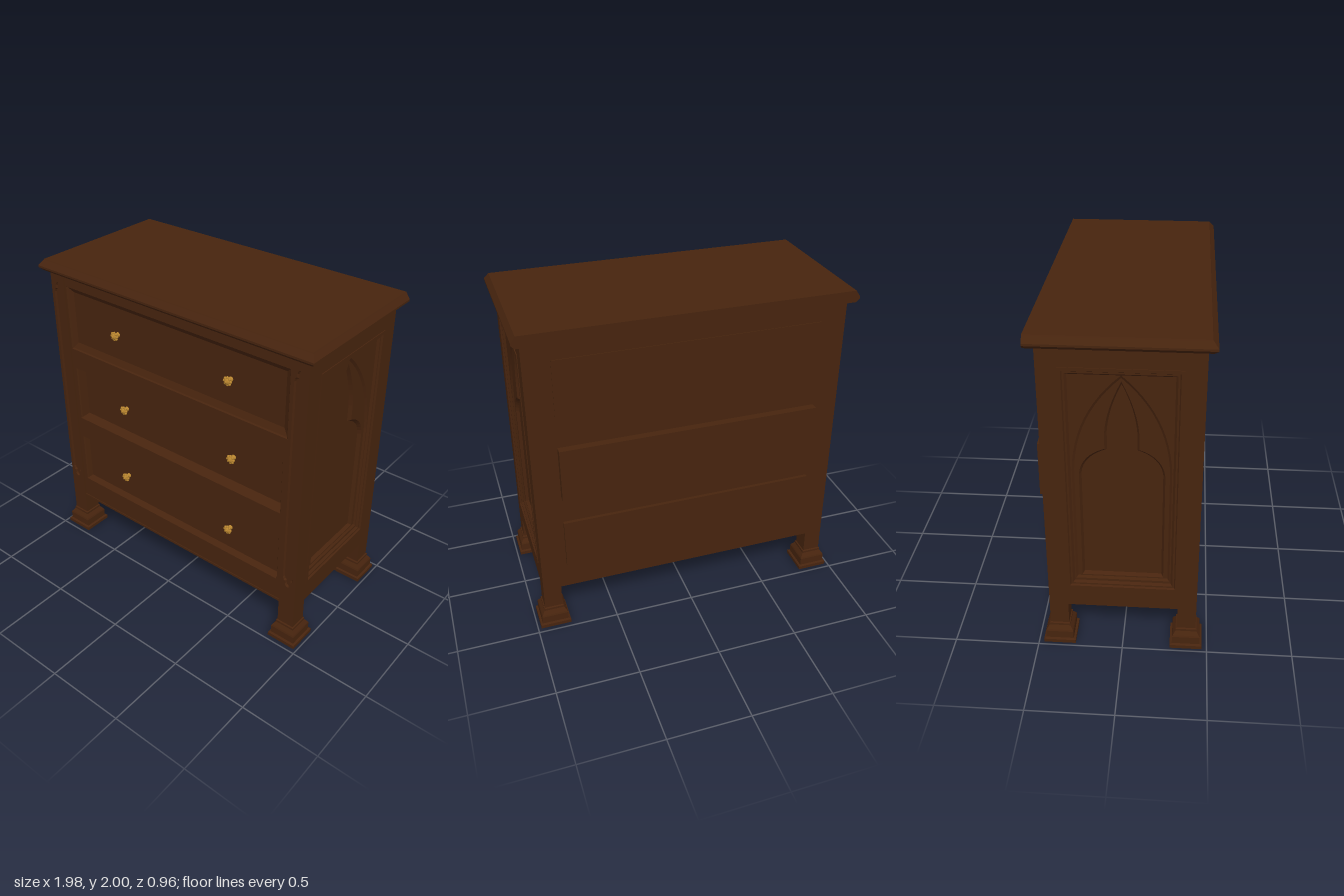
import * as THREE from 'three';

const wood = new THREE.MeshStandardMaterial({ color: 0x47240e });
wood.name = 'dark wood';
const brass = new THREE.MeshStandardMaterial({ color: 0xb9852f });
brass.name = 'brass';

function add(parent, name, geometry, material = wood) {
  const mesh = new THREE.Mesh(geometry, material);
  mesh.name = name;
  parent.add(mesh);
  return mesh;
}

// Box given by its lower and upper corners
function box(parent, name, [x0, y0, z0], [x1, y1, z1]) {
  const mesh = add(parent, name, new THREE.BoxGeometry(x1 - x0, y1 - y0, z1 - z0));
  mesh.position.set((x0 + x1) / 2, (y0 + y1) / 2, (z0 + z1) / 2);
  return mesh;
}

// Counter-clockwise rectangle outline
const rect = (x0, y0, x1, y1) => [[x0, y0], [x1, y0], [x1, y1], [x0, y1]].map(p => new THREE.Vector2(...p));

// Flat-faced skin through matching outlines, each { points, w } with w along +z
function loft(levels, capped = false) {
  const pos = [];
  const tri = (...vs) => vs.forEach(([p, w]) => pos.push(p.x, p.y, w));
  for (let k = 0; k < levels.length - 1; k++) {
    const { points: a, w: wa } = levels[k], { points: b, w: wb } = levels[k + 1];
    a.forEach((p, i) => {
      const j = (i + 1) % a.length;
      tri([p, wa], [a[j], wa], [b[j], wb]);
      tri([p, wa], [b[j], wb], [b[i], wb]);
    });
  }
  if (capped) {
    const s = levels[0], e = levels[levels.length - 1];
    for (let i = 1; i < s.points.length - 1; i++) {
      tri([s.points[0], s.w], [s.points[i + 1], s.w], [s.points[i], s.w]);
      tri([e.points[0], e.w], [e.points[i], e.w], [e.points[i + 1], e.w]);
    }
  }
  const g = new THREE.BufferGeometry();
  g.setAttribute('position', new THREE.Float32BufferAttribute(pos, 3));
  g.computeVertexNormals();
  return g;
}

// Plate with holes, its face at z = w
function plate(outline, holes, w, depth) {
  const shape = new THREE.Shape(outline);
  shape.holes = holes.map(h => new THREE.Path(h));
  return new THREE.ExtrudeGeometry(shape, { depth, bevelEnabled: false }).translate(0, 0, w - depth);
}

// Right half of an outline mirrored to a closed, counter-clockwise one ending at the apex
function mirrored(half) {
  const left = half.slice(0, -1).reverse().map(p => new THREE.Vector2(-p.x, p.y));
  return [...half, ...left];
}

const curve = (a, b, c, n) => new THREE.QuadraticBezierCurve(
  new THREE.Vector2(...a), new THREE.Vector2(...b), new THREE.Vector2(...c)).getPoints(n);

// Pointed arch, inset by d
const arch = d => mirrored([
  new THREE.Vector2(0.268 - d, 0.46 + d),
  ...curve([0.268 - d, 1.2], [0.255 - d, 1.55 - d], [0, 1.775 - d * 1.6], 12)]);

// Shouldered pointed opening, inset by d
const trefoil = d => mirrored([
  new THREE.Vector2(0.232 - d, 0.48 + d),
  ...curve([0.232 - d, 1.17], [0.22 - d, 1.29 - d], [0.092 - d, 1.335 - d], 8),
  ...curve([0.092 - d, 1.43], [0.082 - d, 1.57], [0, 1.735 - d * 2], 8)]);

// Slim post recess with a stepped tip at each end
function postRecess(d) {
  const a = 0.035 - d, b = 0.019 - d;
  const top = [[a, 1.795], [a - 0.006, 1.815 - d], [b, 1.822 - d], [b, 1.845 - d], [b * 0.6, 1.858 - d], [0, 1.863 - d]];
  const right = [...top.map(([x, y]) => [x, 2.283 - y]).reverse(), ...top];
  return [...right, ...right.slice(1, -1).reverse().map(([x, y]) => [-x, y])].map(p => new THREE.Vector2(...p));
}

// Post with its stepped foot
function makePost(front) {
  const post = new THREE.Group();
  post.name = front ? 'frontPost' : 'backPost';
  const h = 0.055;
  box(post, 'leg', [-h, 0.1, -h], [h, front ? 0.3 : 1.94, h]);
  if (front) {
    box(post, 'postCore', [-h, 0.3, -h], [h, 1.94, 0.043]);
    add(post, 'postFace', plate(rect(-h, 0.3, h, 1.94), [postRecess(0)], h, 0.012));
    add(post, 'postRecessEdge', loft([{ points: postRecess(0), w: h }, { points: postRecess(0.006), w: 0.043 }]));
  }
  const sq = (r, w) => ({ points: rect(-r, -r, r, r), w });
  const foot = loft([sq(0.095, 0), sq(0.095, 0.022), sq(0.082, 0.027), sq(0.082, 0.075),
    sq(0.078, 0.085), sq(0.062, 0.108), sq(0.062, 0.122), sq(0.055, 0.127)], true);
  add(post, 'foot', foot.rotateX(-Math.PI / 2));
  return post;
}

// Side panel facing +z, later turned to face outward
function makeSide() {
  const side = new THREE.Group();
  side.name = 'sidePanel';
  box(side, 'lowerRail', [-0.32, 0.27, 0.86], [0.32, 0.4, 0.94]);
  box(side, 'upperRail', [-0.32, 1.82, 0.86], [0.32, 1.94, 0.94]);
  const frame = (d, w) => ({ points: rect(-0.32 + d, 0.4 + d, 0.32 - d, 1.82 - d), w });
  add(side, 'panelMoulding', loft([frame(0, 0.94), frame(0, 0.945), frame(0.018, 0.945),
    frame(0.024, 0.935), frame(0.034, 0.935), frame(0.045, 0.922)]));
  add(side, 'archSurround', plate(rect(-0.28, 0.43, 0.28, 1.79), [arch(0)], 0.922, 0.012));
  add(side, 'archEdge', loft([{ points: arch(0), w: 0.922 }, { points: arch(0.012), w: 0.912 }]));
  add(side, 'tracery', plate(arch(0), [trefoil(0)], 0.912, 0.025));
  add(side, 'traceryEdge', loft([{ points: trefoil(0), w: 0.912 }, { points: trefoil(0.012), w: 0.892 }]));
  box(side, 'backPanel', [-0.32, 0.3, 0.86], [0.32, 1.9, 0.892]);
  return side;
}

// Small rosette knob pointing along +z
function makeKnob() {
  const knob = new THREE.Group();
  knob.name = 'knob';
  add(knob, 'stem', new THREE.CylinderGeometry(0.011, 0.016, 0.03, 12).rotateX(Math.PI / 2), brass).position.z = 0.012;
  add(knob, 'knobBody', new THREE.SphereGeometry(0.022, 14, 10).scale(1, 1, 0.75), brass).position.z = 0.031;
  for (let i = 0; i < 8; i++) {
    const a = i * Math.PI / 4;
    add(knob, 'petal', new THREE.SphereGeometry(0.009, 8, 6), brass)
      .position.set(Math.cos(a) * 0.021, Math.sin(a) * 0.021, 0.032);
  }
  add(knob, 'knobTip', new THREE.SphereGeometry(0.008, 8, 6), brass).position.z = 0.044;
  return knob;
}

export function createModel() {
  const model = new THREE.Group();
  model.name = 'chestOfDrawers';

  // Moulded top, flush at the back
  const slab = (x, z, w) => ({ points: rect(-x, -z, x, 0.48), w });
  const top = loft([slab(0.968, 0.457, 1.93), slab(0.975, 0.463, 1.937), slab(0.988, 0.477, 1.95),
    slab(0.988, 0.477, 1.962), slab(0.965, 0.45, 1.995), slab(0.962, 0.447, 2)], true);
  add(model, 'top', top.rotateX(-Math.PI / 2));

  // Corner posts
  for (const sx of [-1, 1]) for (const sz of [-1, 1]) {
    const post = makePost(sz > 0);
    post.position.set(sx * 0.885, 0, sz * 0.375);
    model.add(post);
  }

  // Side panels
  for (const s of [-1, 1]) {
    const side = makeSide();
    side.rotation.y = s * Math.PI / 2;
    model.add(side);
  }

  // Carcass
  box(model, 'bottomBoard', [-0.88, 0.27, -0.42], [0.88, 0.29, 0.4]);
  box(model, 'backBoard', [-0.83, 0.27, -0.43], [0.83, 1.94, -0.41]);
  box(model, 'bottomBead', [-0.83, 0.27, 0.4], [0.83, 0.285, 0.425]);

  // Drawers: opening in the front frame, drawer height, and depth of its front and back
  const drawers = [
    { hole: [-0.822, 1.43, 0.822, 1.85], y: [1.475, 1.815], front: 0.395, back: -0.435, knob: 1.642 },
    { hole: [-0.802, 0.922, 0.802, 1.297], y: [0.94, 1.272], front: 0.36, back: -0.475, knob: 1.11 },
    { hole: [-0.802, 0.43, 0.802, 0.777], y: [0.446, 0.758], front: 0.382, back: -0.45, knob: 0.605 }];
  add(model, 'frontFrame', plate(rect(-0.83, 0.27, 0.83, 1.94), drawers.map(d => rect(...d.hole)), 0.42, 0.03));
  for (const d of drawers) {
    const [y0, y1] = d.y;
    box(model, 'drawer', [-0.785, y0, d.back], [0.785, y1, d.front]);
    const [a, b, c, e] = d.hole;
    add(model, 'drawerMoulding', loft([
      { points: rect(a, b, c, e), w: 0.42 },
      { points: rect(a + 0.006, b + 0.006, c - 0.006, e - 0.006), w: 0.412 },
      { points: rect(-0.785, y0, 0.785, y1), w: d.front }]));
    for (const x of [-0.425, 0.425]) {
      const knob = makeKnob();
      knob.position.set(x, d.knob, d.front);
      model.add(knob);
    }
  }
  return model;
}
